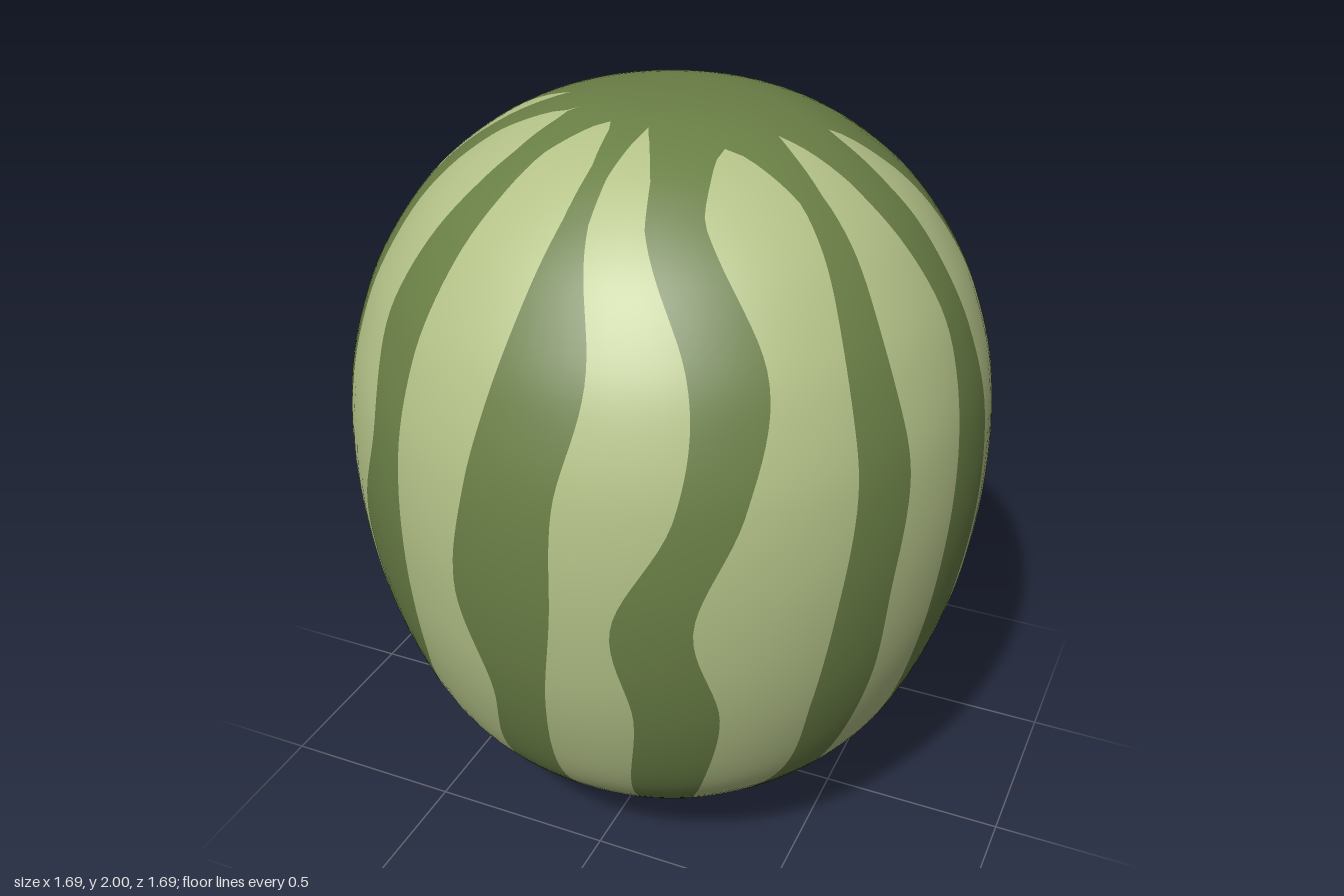
import * as THREE from 'three';

// Body outline as [radius, height], bottom to top
const PROFILE = [
  [0, 0], [0.18, 0.02], [0.3, 0.065], [0.43, 0.14], [0.57, 0.26], [0.68, 0.4], [0.765, 0.6], [0.82, 0.82],
  [0.845, 1.07], [0.832, 1.3], [0.785, 1.48], [0.72, 1.62], [0.61, 1.77], [0.47, 1.885], [0.33, 1.955],
  [0.18, 1.99], [0, 2],
];

// Heights at which the stripe edges are given
const HEIGHTS = [0.2, 0.4, 0.7, 1.0, 1.3, 1.6, 1.85];

// Dark stripes around the body: start and end angle in degrees at each height
// (0 faces front, 90 faces +x); tip is the radius where the next light streak ends near the top
const FRONT_STRIPES = [
  { tip: 0.25, edges: [-14, 0, -15, -1, -10, 1, -14, 4, -11, 5, -7, 9, -4, 3] },
  { tip: 0.33, edges: [15, 28, 15, 30, 17, 32, 14, 27, 24, 35, 26, 40, 17, 32] },
  { tip: 0.34, edges: [41, 57, 48, 60, 49, 62, 51, 62, 54, 65, 55, 64, 59, 67] },
  { tip: 0.39, edges: [71, 88, 76, 90, 75, 87, 76, 90, 79, 92, 83, 92, 80, 94] },
  { tip: 0.48, edges: [107, 121, 105, 122, 108, 122, 103, 116, 105, 117, 109, 123, 107, 130] },
  { tip: 0.41, edges: [128, 145, 131, 147, 134, 150, 135, 155, 141, 152, 138, 151, 140, 157] },
];
const BACK_STRIPES = [
  { tip: 0.38, edges: [165, 181, 168, 182, 171, 184, 180, 196, 180, 195, 179, 190, 180, 190] },
  { tip: 0.40, edges: [204, 220, 208, 221, 212, 226, 216, 232, 213, 227, 212, 228, 206, 227] },
  { tip: 0.345, edges: [236, 250, 240, 252, 238, 250, 243, 256, 241, 252, 237, 248, 235, 247] },
  { tip: 0.28, edges: [261, 273, 262, 272, 258, 270, 261, 273, 260, 271, 258, 269, 260, 270] },
  { tip: 0.26, edges: [285, 304, 283, 300, 282, 303, 289, 304, 294, 307, 293, 304, 286, 299] },
  { tip: 0.23, edges: [319, 333, 313, 324, 318, 331, 317, 333, 324, 333, 320, 333, 322, 334] },
];
const STRIPES = [...FRONT_STRIPES, ...BACK_STRIPES];
const BOTTOM_TIP = 0.25;
const TIP_LENGTH = 0.16;
const ROWS = 90;
const COLUMNS = 4;

// Share of a light streak's full width at this radius: rounds off to nothing at its tip
const streakWidth = (radius, tip) =>
  Math.sqrt(THREE.MathUtils.clamp((radius - tip) / TIP_LENGTH, 0, 1));

// For one body row, the start and end angle of each light streak
function streaksAt(point, curves) {
  const edges = curves.map((curve) => Array.from(curve.evaluate(point.y)));
  return STRIPES.map((stripe, i) => {
    const start = edges[i][1];
    const end = i + 1 < STRIPES.length ? edges[i + 1][0] : edges[0][0] + 360;
    const tip = point.y > 1 ? stripe.tip : BOTTOM_TIP;
    const half = ((end - start) / 2) * streakWidth(point.x, tip);
    const middle = (start + end) / 2;
    return [middle - half, middle + half];
  });
}

// Surface strips of the body; spans[row] lists the start and end angle of every strip
function stripsGeometry(points, normals, spans) {
  const positions = [], directions = [], indices = [];
  for (let s = 0; s < STRIPES.length; s++) {
    const base = positions.length / 3;
    points.forEach((p, row) => {
      const [from, to] = spans[row][s];
      for (let c = 0; c <= COLUMNS; c++) {
        const a = THREE.MathUtils.degToRad(THREE.MathUtils.lerp(from, to, c / COLUMNS));
        const n = normals[row];
        positions.push(p.x * Math.sin(a), p.y, p.x * Math.cos(a));
        directions.push(n.x * Math.sin(a), n.y, n.x * Math.cos(a));
      }
    });
    for (let row = 0; row < ROWS; row++) {
      const low = spans[row][s], high = spans[row + 1][s];
      if (low[1] - low[0] + high[1] - high[0] < 1e-6) continue;
      for (let c = 0; c < COLUMNS; c++) {
        const i = base + row * (COLUMNS + 1) + c;
        const j = i + COLUMNS + 1;
        indices.push(i, i + 1, j + 1, i, j + 1, j);
      }
    }
  }
  const geometry = new THREE.BufferGeometry();
  geometry.setAttribute('position', new THREE.Float32BufferAttribute(positions, 3));
  geometry.setAttribute('normal', new THREE.Float32BufferAttribute(directions, 3));
  geometry.setIndex(indices);
  return geometry;
}

export function createModel() {
  const lightGreen = new THREE.MeshStandardMaterial({ name: 'lightGreen', color: 0xb4c288 });
  const darkGreen = new THREE.MeshStandardMaterial({ name: 'darkGreen', color: 0x6a7f46 });

  // Rows of the body and their outward directions
  const outline = new THREE.SplineCurve(PROFILE.map(([r, y]) => new THREE.Vector2(r, y)));
  const points = outline.getSpacedPoints(ROWS);
  const normals = points.map((p, i) => {
    if (i === 0) return new THREE.Vector2(0, -1);
    if (i === ROWS) return new THREE.Vector2(0, 1);
    const t = points[i + 1].clone().sub(points[i - 1]).normalize();
    return new THREE.Vector2(t.y, -t.x);
  });

  // Light streaks, and the dark stripes filling the gaps and both ends
  const curves = STRIPES.map((s) => new THREE.CubicInterpolant(HEIGHTS, s.edges, 2, new Float32Array(2)));
  const lightSpans = points.map((p) => streaksAt(p, curves));
  const darkSpans = lightSpans.map((row) =>
    row.map((span, i) => [i > 0 ? row[i - 1][1] : row[row.length - 1][1] - 360, span[0]]));

  const streaks = new THREE.Mesh(stripsGeometry(points, normals, lightSpans), lightGreen);
  streaks.name = 'lightRind';
  const stripes = new THREE.Mesh(stripsGeometry(points, normals, darkSpans), darkGreen);
  stripes.name = 'darkStripes';

  const melon = new THREE.Group();
  melon.name = 'watermelon';
  melon.add(streaks, stripes);
  return melon;
}
